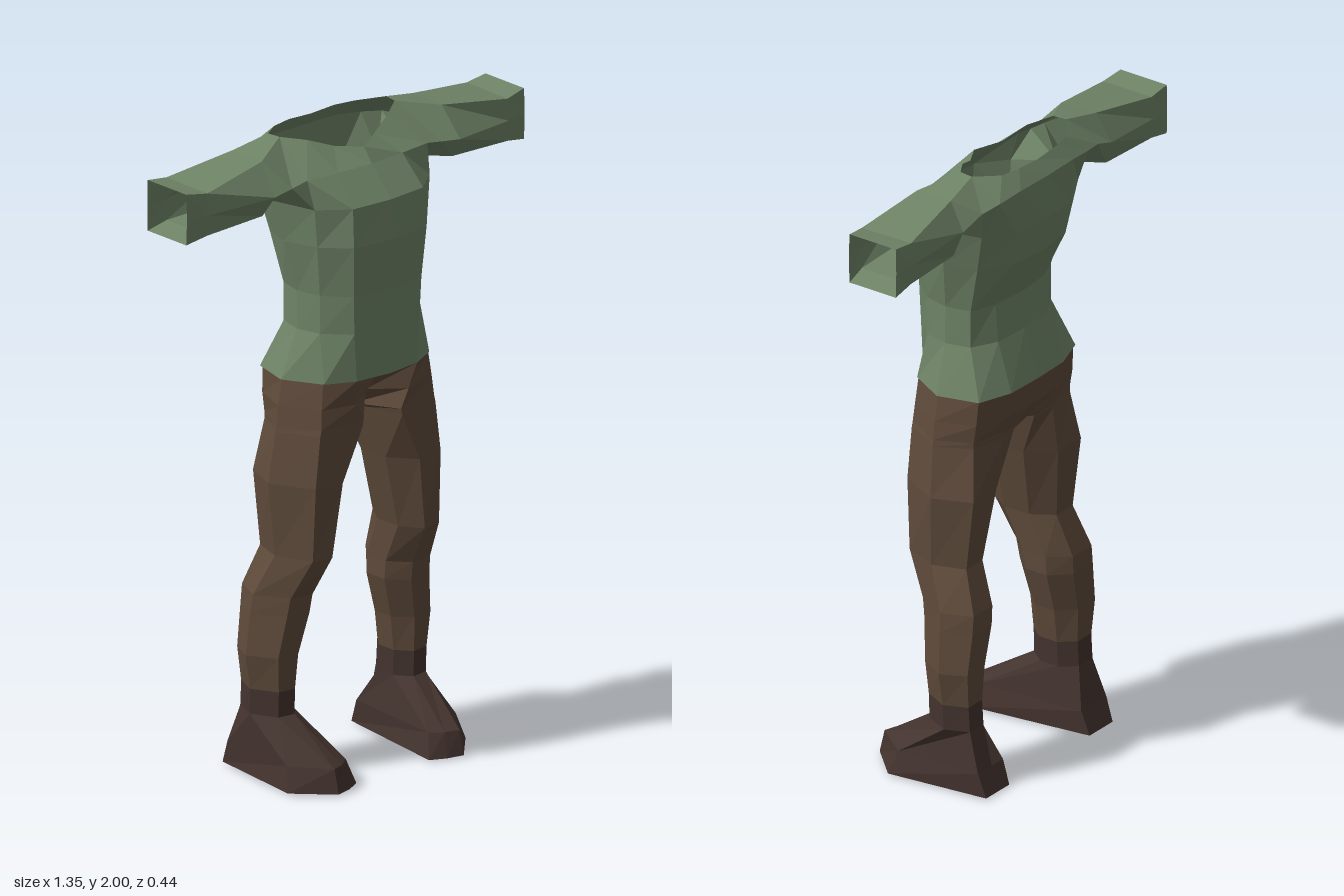
import * as THREE from 'three';

const mat = (name, color) => {
  const m = new THREE.MeshStandardMaterial({ color, flatShading: true, side: THREE.DoubleSide });
  m.name = name;
  return m;
};

// Skins a list of cross-sections of [x, y, z] points and mirrors it across x = 0.
function skin(name, rows, material, { closed = false, flip = false, skip = () => false } = {}) {
  const pos = [];
  const n = rows[0].length;
  for (const side of [1, -1]) {
    for (let i = 0; i < rows.length - 1; i++) {
      for (let j = 0; j < (closed ? n : n - 1); j++) {
        if (skip(i, j)) continue;
        const k = (j + 1) % n;
        const quad = [rows[i][j], rows[i][k], rows[i + 1][k], rows[i + 1][j]];
        if (flip !== (side < 0)) quad.reverse();
        for (const c of [0, 1, 2, 0, 2, 3]) pos.push(quad[c][0] * side, quad[c][1], quad[c][2]);
      }
    }
  }
  const g = new THREE.BufferGeometry();
  g.setAttribute('position', new THREE.Float32BufferAttribute(pos, 3));
  g.computeVertexNormals();
  const mesh = new THREE.Mesh(g, material);
  mesh.name = name;
  return mesh;
}

// Half ring at one height, from front centre round the side to back centre.
const level = (y, pts) => pts.map(([x, z]) => [x, y, z]);

// Seven-sided leg ring from its inner and outer x and its front and back z.
function legRing(y, xi, xo, zf, zb) {
  const u = [0, 0.28, 0.7, 1, 0.78, 0.28, 0];
  const v = [0.7, 1, 0.95, 0.45, 0, 0, 0.3];
  return u.map((a, i) => [xi + (xo - xi) * a, y, zb + (zf - zb) * v[i]]);
}

export function createModel() {
  const model = new THREE.Group();
  const green = mat('shirt green', 0x6f8467);
  const brown = mat('trouser brown', 0x5f4b3b);
  const dark = mat('boot brown', 0x44342f);

  // Shirt body, hem to armpits
  model.add(skin('shirtBody', [
    level(1.26, [[0, 0.168], [0.12, 0.155], [0.21, 0.11], [0.275, -0.01], [0.24, -0.14], [0.13, -0.178], [0, -0.182]]),
    level(1.41, [[0, 0.172], [0.13, 0.155], [0.2, 0.08], [0.22, 0], [0.2, -0.08], [0.12, -0.122], [0, -0.13]]),
    level(1.53, [[0, 0.175], [0.135, 0.158], [0.2, 0.08], [0.218, 0], [0.2, -0.08], [0.12, -0.112], [0, -0.122]]),
    level(1.69, [[0, 0.186], [0.145, 0.17], [0.22, 0.09], [0.255, -0.02], [0.22, -0.12], [0.13, -0.185], [0, -0.2]]),
    [[0, 1.81, 0.172], [0.14, 1.81, 0.16], [0.23, 1.81, 0.09], [0.285, 1.82, -0.04], [0.24, 1.81, -0.15], [0.14, 1.8, -0.205], [0, 1.8, -0.215]],
  ], green));

  // Chest top, shoulders and sleeves: sections along x, open at neck, waist and cuffs
  model.add(skin('shouldersAndSleeves', [
    [[0, 1.81, 0.172], [0, 1.9, 0.088], [0, 1.945, 0.055], [0, 1.985, -0.18], [0, 1.94, -0.215], [0, 1.8, -0.215]],
    [[0.14, 1.81, 0.16], [0.13, 1.9, 0.08], [0.08, 1.955, 0.01], [0.09, 1.99, -0.178], [0.13, 1.94, -0.212], [0.14, 1.8, -0.205]],
    [[0.23, 1.81, 0.09], [0.24, 1.9, 0.068], [0.16, 1.985, -0.02], [0.16, 1.99, -0.165], [0.22, 1.93, -0.202], [0.24, 1.81, -0.15]],
    [[0.285, 1.82, -0.04], [0.3, 1.89, 0.068], [0.23, 2, -0.065], [0.235, 2, -0.11], [0.29, 1.92, -0.188], [0.285, 1.82, -0.04]],
    [[0.38, 1.812, 0.025], [0.37, 1.88, 0.07], [0.36, 1.972, 0], [0.36, 1.975, -0.125], [0.37, 1.89, -0.178], [0.38, 1.81, -0.15]],
    [[0.6, 1.805, 0.025], [0.6, 1.87, 0.03], [0.6, 1.938, 0.025], [0.6, 1.94, -0.155], [0.6, 1.87, -0.162], [0.6, 1.805, -0.155]],
    [[0.675, 1.79, 0.015], [0.675, 1.87, 0.018], [0.675, 1.95, 0.015], [0.675, 1.95, -0.155], [0.675, 1.87, -0.157], [0.675, 1.79, -0.155]],
  ], green, { closed: true, flip: true, skip: (i, j) => i < 3 && (j === 2 || j === 5) }));

  // Trousers: hips joined at the centre line, then two legs
  const hips = [
    level(1.26, [[0, 0.125], [0.12, 0.155], [0.21, 0.105], [0.27, -0.01], [0.235, -0.135], [0.13, -0.172], [0, -0.176]]),
    level(1.18, [[0, 0.06], [0.1, 0.14], [0.22, 0.11], [0.285, -0.01], [0.24, -0.13], [0.13, -0.168], [0, -0.172]]),
    level(1.12, [[0, 0], [0.075, 0.135], [0.225, 0.115], [0.292, -0.01], [0.24, -0.12], [0.12, -0.148], [0, -0.14]]),
    level(1.1, [[0.05, 0.02], [0.08, 0.135], [0.23, 0.115], [0.295, -0.01], [0.24, -0.12], [0.12, -0.146], [0.05, -0.13]]),
  ];
  model.add(skin('trousers', [
    ...hips,
    legRing(0.94, 0.09, 0.318, 0.13, -0.14),
    legRing(0.71, 0.14, 0.3, 0.118, -0.112),
    legRing(0.58, 0.148, 0.335, 0.048, -0.16),
    legRing(0.52, 0.15, 0.342, 0.038, -0.16),
    legRing(0.39, 0.185, 0.355, 0.02, -0.155),
    legRing(0.28, 0.2, 0.336, 0.012, -0.15),
  ], brown, { closed: true, flip: true, skip: (i, j) => i < 2 && j === 6 }));

  // Boots: short shaft, splayed foot and flat sole
  const sole = [[0.145, 0.18], [0.195, 0.205], [0.25, 0.218], [0.355, 0.11], [0.315, -0.222], [0.25, -0.222], [0.2, -0.222]];
  model.add(skin('boots', [
    legRing(0.28, 0.2, 0.336, 0.012, -0.15),
    legRing(0.2, 0.2, 0.335, 0.01, -0.155),
    level(0.08, [[0.165, 0.155], [0.205, 0.185], [0.25, 0.2], [0.338, 0.085], [0.32, -0.195], [0.25, -0.195], [0.195, -0.195]]),
    level(0.005, sole),
    level(0, sole.map(() => [0.25, -0.02])),
  ], dark, { closed: true, flip: true }));

  return model;
}
